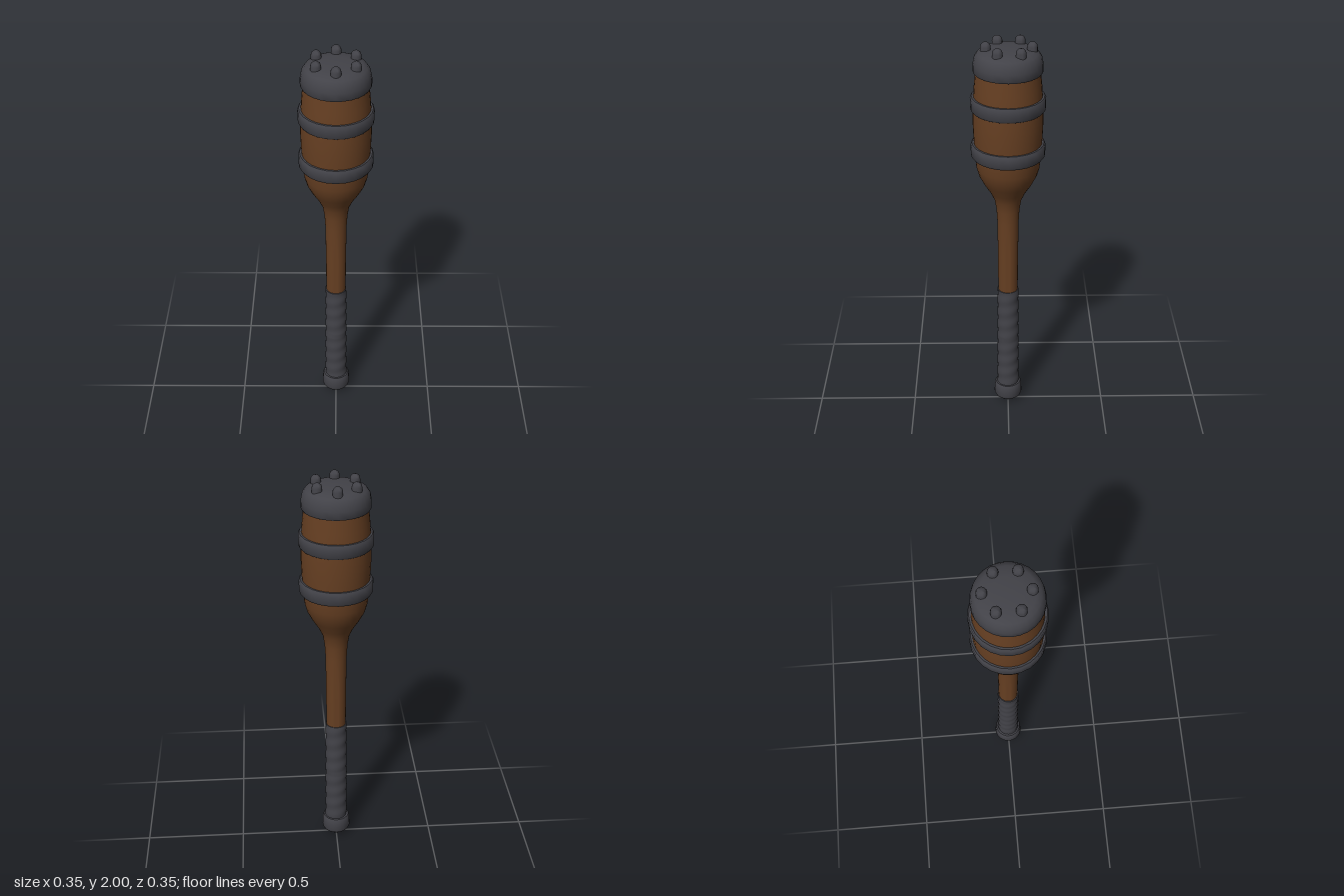
import * as THREE from 'three';
import { toCreasedNormals } from 'three/addons/utils/BufferGeometryUtils.js';

export function createModel() {
  const model = new THREE.Group();
  model.name = 'studdedClub';
  const wood = new THREE.MeshStandardMaterial({ color: 0x663f22 });
  wood.name = 'brown wood';
  const iron = new THREE.MeshStandardMaterial({ color: 0x424248 });
  iron.name = 'dark iron';

  // Turned part from [radius, y] pairs listed bottom to top.
  const turned = (name, profile, material, sides, crease = 0.7) => {
    const lathe = new THREE.LatheGeometry(profile.map(([r, y]) => new THREE.Vector2(r, y)), sides);
    const mesh = new THREE.Mesh(toCreasedNormals(lathe, crease), material);
    mesh.name = name;
    model.add(mesh);
    return mesh;
  };

  // Wooden shaft flaring into the barrel-shaped head
  turned('woodenBody', [
    [0.046, 0.6], [0.049, 0.7], [0.05, 0.9], [0.052, 1.08], [0.056, 1.15], [0.065, 1.205],
    [0.086, 1.25], [0.116, 1.297], [0.139, 1.342], [0.151, 1.385], [0.156, 1.44],
    [0.162, 1.53], [0.165, 1.61], [0.163, 1.7], [0.157, 1.79], [0.148, 1.88],
  ], wood, 32);

  // Iron bands round the head
  for (const [name, y] of [['lowerBand', 1.475], ['upperBand', 1.71]]) {
    turned(name, [
      [0.155, y - 0.034], [0.17, y - 0.034], [0.176, y - 0.025],
      [0.176, y + 0.025], [0.17, y + 0.034], [0.155, y + 0.034],
    ], iron, 24);
  }

  // Domed iron cap
  turned('headCap', [
    [0.14, 1.86], [0.158, 1.86], [0.162, 1.867], [0.161, 1.9], [0.155, 1.93],
    [0.141, 1.95], [0.12, 1.961], [0.07, 1.967], [0, 1.969],
  ], iron, 28);

  // Ring of round-headed studs on the cap
  for (let i = 0; i < 6; i++) {
    const a = (i * Math.PI) / 3;
    const stud = turned('stud', [
      [0.024, 1.935], [0.024, 1.978], [0.021, 1.989], [0.013, 1.997], [0, 2],
    ], iron, 14, 1.2);
    stud.position.set(0.103 * Math.sin(a), 0, 0.106 * Math.cos(a) - 0.004);
  }

  // Grip wrapped in a shallow spiral
  const grip = new THREE.CylinderGeometry(0.053, 0.056, 0.58, 24, 60);
  const p = grip.attributes.position;
  for (let i = 0; i < p.count; i++) {
    const x = p.getX(i), z = p.getZ(i);
    const turn = Math.atan2(z, x) / (Math.PI * 2) + p.getY(i) / 0.075;
    const swell = 1 + 0.025 * Math.sin(turn * Math.PI * 2);
    p.setX(i, x * swell);
    p.setZ(i, z * swell);
  }
  grip.computeVertexNormals();
  const wrap = new THREE.Mesh(toCreasedNormals(grip, 0.8), iron);
  wrap.name = 'gripWrap';
  wrap.position.y = 0.405;
  model.add(wrap);

  // Pommel with a rounded point
  turned('pommel', [
    [0, 0], [0.02, 0.004], [0.043, 0.016], [0.066, 0.036], [0.072, 0.05],
    [0.069, 0.108], [0.064, 0.118], [0.045, 0.12],
  ], iron, 24);

  return model;
}
